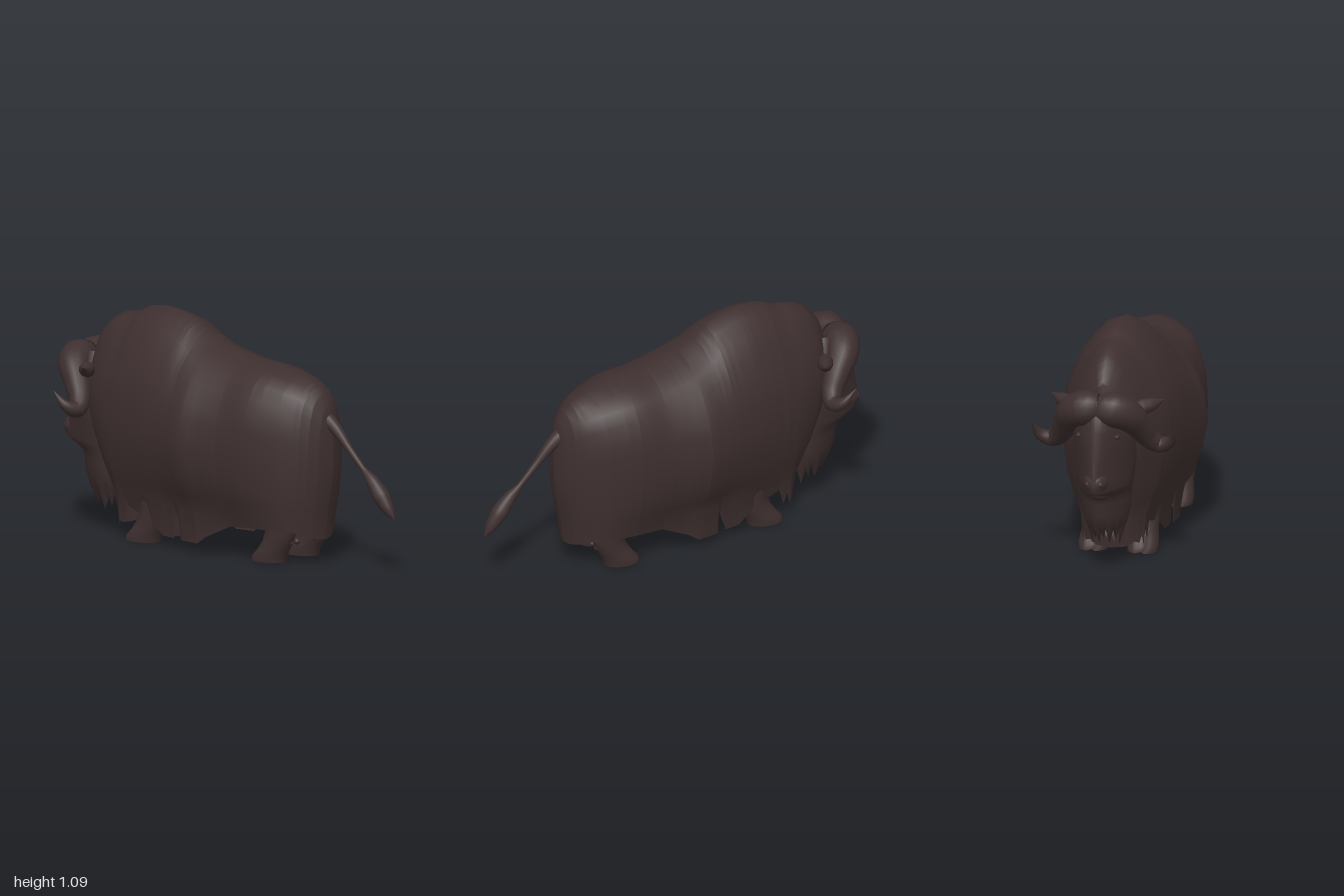
import * as THREE from 'three';

const fur = new THREE.MeshStandardMaterial({ color: 0x3e2f2f, side: THREE.DoubleSide });
fur.name = 'dark brown fur';

// Skin a list of equal-length rings; closed rings wrap round, caps fan to the ring centre
function loft(name, rings, closed = true, caps = false) {
  const n = rings[0].length, pos = rings.flat(2), index = [];
  const span = closed ? n : n - 1;
  for (let i = 0; i < rings.length - 1; i++) {
    for (let j = 0; j < span; j++) {
      const a = i * n + j, b = i * n + (j + 1) % n;
      index.push(a, b, a + n, b, b + n, a + n);
    }
  }
  if (caps) {
    [0, rings.length - 1].forEach((r) => {
      const c = pos.length / 3;
      // own copy of the rim keeps the cap edge sharp
      const mid = [0, 1, 2].map((k) => rings[r].reduce((s, p) => s + p[k], 0) / n);
      pos.push(...mid, ...rings[r].flat());
      for (let j = 0; j < n; j++) {
        const a = c + 1 + j, b = c + 1 + (j + 1) % n;
        if (r === 0) index.push(c, b, a); else index.push(c, a, b);
      }
    });
  }
  const g = new THREE.BufferGeometry();
  g.setAttribute('position', new THREE.Float32BufferAttribute(pos, 3));
  g.setIndex(index);
  g.computeVertexNormals();
  const mesh = new THREE.Mesh(g, fur);
  mesh.name = name;
  return mesh;
}

// Lookup in rows sorted by their first value, straight or with smooth slopes
function lookup(rows, x, smooth = false) {
  const last = rows.length - 1;
  if (x <= rows[0][0]) return rows[0];
  if (x >= rows[last][0]) return rows[last];
  const i = rows.findIndex((r) => x <= r[0]);
  const a = rows[i - 1], b = rows[i], h = b[0] - a[0], t = (x - a[0]) / h;
  if (!smooth) return a.map((v, k) => v + (b[k] - v) * t);
  const p = rows[Math.max(i - 2, 0)], q = rows[Math.min(i + 1, last)];
  return a.map((v, k) => {
    const m0 = h * (b[k] - p[k]) / (b[0] - p[0]), m1 = h * (q[k] - v) / (q[0] - a[0]);
    const d = b[k] - v;
    return v + m0 * t + (3 * d - 2 * m0 - m1) * t * t + (m0 + m1 - 2 * d) * t * t * t;
  });
}

// Tube of varying radius; points are [x, y, z, radius]
function taper(name, points, side = 1, sides = 14, steps = 28) {
  const curve = new THREE.CatmullRomCurve3(points.map((p) => new THREE.Vector3(p[0] * side, p[1], p[2])));
  const frames = curve.computeFrenetFrames(steps, false);
  const radii = points.map((p, i) => [i / (points.length - 1), p[3]]);
  const rings = [];
  for (let i = 0; i <= steps; i++) {
    const t = curve.getUtoTmapping(i / steps), c = curve.getPoint(t), r = lookup(radii, t)[1];
    rings.push(Array.from({ length: sides }, (_, j) => {
      const a = (j / sides) * Math.PI * 2;
      return c.clone().addScaledVector(frames.normals[i], Math.cos(a) * r)
        .addScaledVector(frames.binormals[i], Math.sin(a) * r).toArray();
    }));
  }
  return loft(name, rings);
}

function ball(name, x, y, z, rx, ry, rz) {
  const m = new THREE.Mesh(new THREE.SphereGeometry(1, 20, 14), fur);
  m.position.set(x, y, z);
  m.scale.set(rx, ry, rz);
  m.name = name;
  return m;
}

// Body stations: z, top, half width, rump fullness above, rump fullness below
const BODY = [
  [-0.8, 0.82, 0, 0, 0], [-0.785, 0.89, 0.1, 0, 0], [-0.75, 0.95, 0.15, 0, 0], [-0.7, 1.0, 0.18, 0, 0],
  [-0.63, 1.035, 0.21, 0, 0], [-0.55, 1.05, 0.237, 0, 0], [-0.48, 1.08, 0.257, 0, 0],
  [-0.35, 1.09, 0.284, 0, 0], [-0.2, 1.055, 0.308, 0, 0], [-0.12, 1.0, 0.322, 0.15, 0],
  [-0.04, 0.96, 0.334, 0.3, 0], [0.05, 0.935, 0.311, 0.5, 0.05], [0.15, 0.915, 0.286, 0.7, 0.15],
  [0.3, 0.9, 0.262, 1, 0.4], [0.44, 0.87, 0.213, 1, 0.75], [0.52, 0.84, 0.165, 1, 1],
  [0.575, 0.795, 0.117, 1, 1], [0.605, 0.74, 0.075, 1, 1], [0.62, 0.68, 0.038, 1, 1], [0.626, 0.63, 0, 1, 1],
];
// Ragged hem: z, height
const HEM = [
  [-0.8, 0.055], [-0.72, 0.085], [-0.63, 0.075], [-0.585, 0.11], [-0.55, 0.06], [-0.532, 0.13],
  [-0.51, 0.08], [-0.485, 0.16], [-0.41, 0.14], [-0.35, 0.16], [-0.32, 0.1], [-0.25, 0.055],
  [-0.18, 0.055], [-0.143, 0.16], [-0.135, 0.05], [-0.03, 0.05], [0.02, 0.085], [0.16, 0.15],
  [0.35, 0.16], [0.54, 0.155], [0.626, 0.115],
];
// Section: share of height from the top, width at the hump, width at the rump
const SECTION = [
  [0.03, 0.25, 0.38], [0.1, 0.46, 0.68], [0.19, 0.67, 0.83], [0.3, 0.82, 0.93], [0.4, 0.94, 0.98],
  [0.58, 1, 1], [0.78, 0.91, 1], [0.9, 0.77, 0.98], [1, 0.65, 0.95],
];

function coat() {
  const even = Array.from({ length: 47 }, (_, i) => -0.78 + i * 0.03);
  const zs = [...new Set([...even, ...BODY.map((r) => r[0]), ...HEM.map((r) => r[0])])].sort((a, b) => a - b);
  const clamp = (v) => THREE.MathUtils.clamp(v, 0, 1);
  const rings = zs.map((z) => {
    const [, top, w, above, below] = lookup(BODY, z, true);
    // the rump slopes forward and the chest slopes back towards the hem
    const slope = (y) => z - 0.05 * Math.max(0, (z - 0.3) / 0.326) * clamp((0.42 - y) / 0.27)
      - 0.8 * Math.min(0, z + 0.55) * clamp((0.65 - y) / 0.5);
    const half = SECTION.map(([t, a, b]) => [w * (a + (b - a) * (t > 0.6 ? below : above)), top + (0.2 - top) * t]);
    half.push([w * (0.6 + 0.33 * below), lookup(HEM, z)[1]]);
    const left = half.map(([x, y]) => [x, y, slope(y)]);
    const right = left.map(([x, y, zz]) => [-x, y, zz]).reverse();
    return [...right, [0, top, z], ...left];
  });
  return loft('shaggyCoat', rings, false);
}

// Head and beard in level rings: y, front z, back z, half width, narrowing to the front
function head() {
  const rows = [
    [0.84, -0.88, -0.74, 0.07, 0.3], [0.78, -0.93, -0.68, 0.115, 0.3], [0.7, -0.953, -0.63, 0.138, 0.35],
    [0.6, -0.968, -0.6, 0.136, 0.45], [0.53, -0.98, -0.59, 0.13, 0.55], [0.47, -0.994, -0.59, 0.122, 0.55],
    [0.425, -0.997, -0.59, 0.118, 0.5], [0.405, -0.96, -0.59, 0.117, 0.45], [0.385, -0.89, -0.595, 0.115, 0.35],
    [0.34, -0.868, -0.595, 0.112, 0.3], [0.28, -0.862, -0.6, 0.108, 0.3], [0.21, -0.838, -0.615, 0.09, 0.3],
    [0.13, -0.79, -0.645, 0.06, 0.3],
  ];
  const n = 36, tips = [0.05, 0.02, -0.02, 0.025, 0.06, 0.005];
  const rings = rows.map(([y, f, b, w, narrow], i) => Array.from({ length: n }, (_, j) => {
    const a = (j / n) * Math.PI * 2, c = Math.cos(a);
    const ragged = i === rows.length - 1 ? tips[j % tips.length] + 0.02 * c : 0;
    return [w * Math.sin(a) * (1 - narrow * c), y + ragged, (f + b) / 2 + (c * (f - b)) / 2];
  }));
  return loft('headAndBeard', rings);
}

// Leg in level rings: y, front z, back z, half width; the hoof is notched in front
function leg(x, dz, name) {
  const rows = [
    [0.005, 0.25, 0.425, 0.07], [0.03, 0.258, 0.43, 0.073], [0.06, 0.288, 0.445, 0.068],
    [0.1, 0.315, 0.468, 0.062], [0.16, 0.335, 0.49, 0.066], [0.4, 0.33, 0.5, 0.085],
  ];
  const n = 24;
  const rings = rows.map(([y, f, b, w], i) => Array.from({ length: n }, (_, j) => {
    const a = (j / n) * Math.PI * 2, c = Math.cos(a);
    const notch = i < 3 && j === 0 ? 0.03 : 0;
    return [x + w * Math.sin(a) * (1 + 0.12 * c), y, (f + b) / 2 + (c * (f - b)) / 2 + notch + dz];
  }));
  const g = new THREE.Group();
  g.name = name;
  g.add(loft('shankAndHoof', rings, true, true));
  [-0.022, 0.022].forEach((o) => g.add(ball('dewclaw', x - Math.sign(x) * 0.03 + o, 0.1, 0.458 + dz, 0.014, 0.014, 0.015)));
  return g;
}

export function createModel() {
  const model = new THREE.Group();
  model.name = 'shaggyOx';
  model.add(coat());

  // Head
  model.add(head());
  model.add(ball('muzzle', 0, 0.465, -0.925, 0.058, 0.06, 0.068));
  model.add(ball('lowerJaw', 0, 0.4, -0.865, 0.05, 0.04, 0.05));

  for (const s of [1, -1]) {
    const side = s > 0 ? 'right' : 'left';
    model.add(taper(side + 'Horn', [
      [0.004, 0.8, -0.865, 0.068], [0.06, 0.8, -0.868, 0.085], [0.12, 0.775, -0.843, 0.078],
      [0.17, 0.705, -0.782, 0.062], [0.208, 0.635, -0.735, 0.05], [0.255, 0.6, -0.715, 0.04],
      [0.31, 0.625, -0.735, 0.026], [0.33, 0.69, -0.79, 0.001],
    ], s));
    model.add(taper(side + 'Ear', [
      [0.12, 0.77, -0.74, 0.02], [0.17, 0.775, -0.72, 0.038], [0.215, 0.785, -0.695, 0.032],
      [0.265, 0.802, -0.665, 0.001],
    ], s, 10, 12));
    model.add(ball(side + 'Eye', s * 0.09, 0.675, -0.885, 0.013, 0.011, 0.02));
    model.add(ball(side + 'Nostril', s * 0.03, 0.465, -0.972, 0.013, 0.015, 0.013));
    model.add(leg(s * 0.115, 0, side + 'HindLeg'), leg(s * 0.115, -0.765, side + 'ForeLeg'));
  }

  // Tail with a tuft
  model.add(taper('tail', [
    [0, 0.7, 0.55, 0.045], [0, 0.645, 0.635, 0.03], [0, 0.565, 0.715, 0.018], [0, 0.47, 0.81, 0.014],
    [0, 0.425, 0.86, 0.03], [0, 0.36, 0.915, 0.041], [0, 0.295, 0.965, 0.027], [0, 0.255, 0.998, 0.001],
  ]));
  return model;
}
